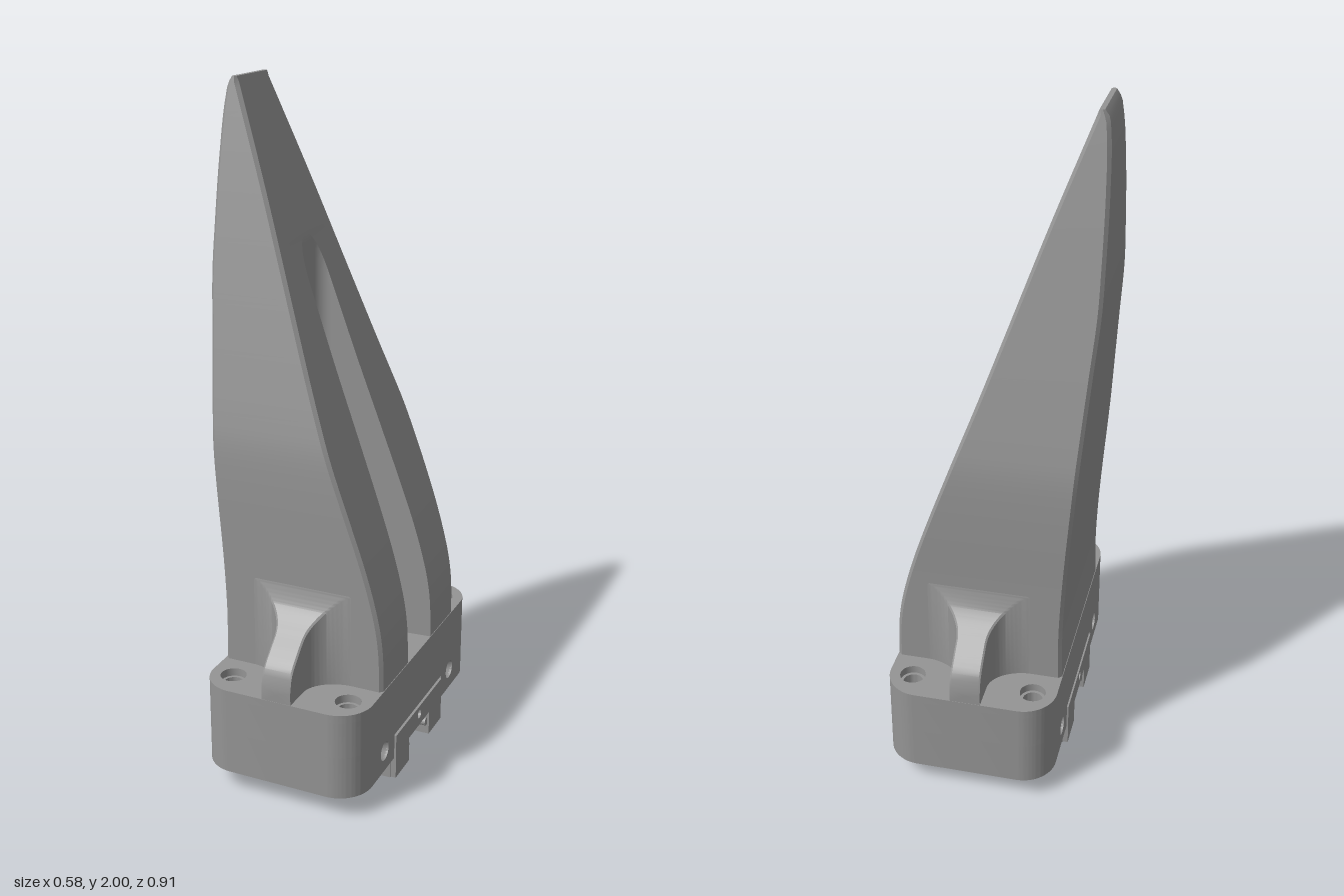
import * as THREE from 'three';
import { toCreasedNormals } from 'three/addons/utils/BufferGeometryUtils.js';

const material = new THREE.MeshStandardMaterial({ color: 0x949494 });

function add(parent, name, geometry) {
  const mesh = new THREE.Mesh(geometry, material);
  mesh.name = name;
  parent.add(mesh);
  return mesh;
}

// smooth curve through (key, value) samples
function curve(keys, values) {
  const c = new THREE.CubicInterpolant(keys, values, 1, new Float32Array(1));
  return (t) => c.evaluate(t)[0];
}

// skin over closed sections, with a fan closing the last one
function loft(rows) {
  const n = rows[0].length;
  const pos = rows.flat(2);
  const index = [];
  for (let j = 0; j < rows.length - 1; j++) {
    for (let i = 0; i < n; i++) {
      const a = j * n + i, b = j * n + (i + 1) % n;
      index.push(a, b, b + n, a, b + n, a + n);
    }
  }
  const last = rows[rows.length - 1];
  const start = (rows.length - 1) * n;
  for (let k = 0; k < 3; k++) pos.push(last.reduce((s, p) => s + p[k], 0) / n);
  for (let i = 0; i < n; i++) index.push(start + i, start + (i + 1) % n, start + n);
  const g = new THREE.BufferGeometry();
  g.setAttribute('position', new THREE.Float32BufferAttribute(pos, 3));
  g.setIndex(index);
  return toCreasedNormals(g, 0.4);
}

function holes(shape, list) {
  for (const [x, y, r] of list) shape.holes.push(new THREE.Path().absarc(x, y, r, 0, Math.PI * 2, true));
  return shape;
}

function extrude(shape, depth) {
  const g = new THREE.ExtrudeGeometry(shape, { depth, bevelEnabled: false, curveSegments: 14 });
  return toCreasedNormals(g, 0.5);
}

// plan shape raised from y0 to y1
const upright = (shape, y0, y1) => extrude(shape, y1 - y0).rotateX(-Math.PI / 2).translate(0, y0, 0);
// end profile run along x, centred
const lengthwise = (shape, length) => extrude(shape, length).translate(0, 0, -length / 2).rotateY(Math.PI / 2);

const polygon = (pts) => new THREE.Shape(pts.map(([x, y]) => new THREE.Vector2(x, y)));

const HALF_X = 0.2525, HALF_Z = 0.457, HOLE_X = 0.182, HOLE_Z = 0.367;
const BOTTOM = 0.07, MID = 0.2, TOP = 0.334;

// plan of the base from z0 to its far end, with round corners at the near end if wanted
function plan(z0, roundNear) {
  const r = 0.1, w = HALF_X, s = new THREE.Shape();
  if (roundNear) {
    s.absarc(-w + r, z0 + r, r, Math.PI, Math.PI * 1.5);
    s.absarc(w - r, z0 + r, r, Math.PI * 1.5, Math.PI * 2);
  } else {
    s.moveTo(-w, z0);
    s.lineTo(w, z0);
  }
  s.absarc(w - r, HALF_Z - r, r, 0, Math.PI / 2);
  s.absarc(-w + r, HALF_Z - r, r, Math.PI / 2, Math.PI);
  return s;
}

function bladeGeometry() {
  const left = curve([0.33, 0.5, 1, 1.3, 1.48, 1.6, 1.8, 1.95, 1.985, 2],
    [-0.22, -0.218, -0.25, -0.273, -0.287, -0.289, -0.288, -0.28, -0.273, -0.262]);
  const right = curve([0.33, 0.45, 0.52, 0.6, 0.7, 0.8, 1, 1.2, 1.4, 1.7, 2],
    [0.282, 0.278, 0.269, 0.251, 0.222, 0.188, 0.115, 0.041, -0.03, -0.136, -0.248]);
  const half = curve([0.33, 0.6, 0.95, 1.02, 1.1, 1.2, 1.5, 2],
    [0.285, 0.285, 0.285, 0.28, 0.267, 0.248, 0.19, 0.095]);
  // half-width of the vertical channel at depth x
  const channel = (x) => {
    if (x <= -0.084) return 0.02;
    if (x < -0.039) return 0.02 + Math.sqrt(0.045 ** 2 - (x + 0.039) ** 2);
    return 0.065 + (x + 0.039) * 0.084;
  };
  const depths = [1, -0.039, -0.05, -0.061, -0.071, -0.079, -0.083, -0.084];
  const rows = [];
  const count = 110;
  for (let j = 0; j <= count; j++) {
    const y = 0.33 + 1.67 * j / count;
    const xl = left(y), xr = right(y), h = half(y);
    const c = Math.min(0.01, (xr - xl) / 3);
    const wall = depths.map((d) => { const x = Math.min(d, xr); return [x, channel(x)]; });
    const section = [
      [xr, h - c], ...wall, ...wall.map(([x, z]) => [x, -z]).reverse(), [xr, c - h],
      [xr - c, -h], [xl + c, -h], [xl, c - h], [xl, h - c], [xl + c, h], [xr - c, h],
    ];
    rows.push(section.map(([x, z]) => [x, y, z]));
  }
  return loft(rows);
}

// buttress that flares out where it meets the blade
function ribGeometry() {
  const top = curve([0.28, 0.29, 0.3, 0.32, 0.36, 0.41, 0.435, 0.448, 0.456],
    [0.63, 0.6, 0.577, 0.547, 0.506, 0.46, 0.434, 0.412, 0.375]);
  const rows = [];
  const count = 40, y0 = 0.33, c = 0.005;
  for (let j = 0; j <= count; j++) {
    const z = 0.2845 + 0.1715 * (j / count) ** 1.7;
    const u = Math.min(1, Math.max(0, (0.375 - z) / 0.0905));
    const w = 0.045 + 0.12 * (1 - Math.sqrt(1 - u * u));
    const h = top(z);
    rows.push([[w, y0, z], [w, h - c, z], [w - c, h, z], [c - w, h, z], [-w, h - c, z], [-w, y0, z]]);
  }
  return loft(rows);
}

// end profile of the carriage with its rail slot and a small bore
function carriageProfile(half, top, slot, ceiling) {
  const s = polygon([[-half, 0], [-slot, 0], [-slot, ceiling], [slot, ceiling],
    [slot, 0], [half, 0], [half, top], [-half, top]]);
  return holes(s, [[0, 0.115, 0.014]]);
}

export function createModel() {
  const model = new THREE.Group();
  model.name = 'bladeOnCarriage';
  add(model, 'blade', bladeGeometry());

  const base = new THREE.Group();
  base.name = 'base';
  base.position.x = 0.031;
  model.add(base);

  // upper base layers with counterbored corner holes and a blind centre hole
  const holeSet = (r, centre) => [
    ...[-1, 1].flatMap((a) => [-1, 1].map((b) => [a * HOLE_X, b * HOLE_Z, r])), [0, 0, centre]];
  add(base, 'baseTop', upright(holes(plan(-HALF_Z, true), holeSet(0.038, 0.038)), 0.31, TOP));
  add(base, 'baseBody', upright(holes(plan(-HALF_Z, true), holeSet(0.029, 0.028)), MID, 0.31));

  // lower middle, notched for the carriage and bored at both ends
  const middle = polygon([[-0.32, BOTTOM], [-0.192, BOTTOM], [-0.192, 0.148], [0.192, 0.148],
    [0.192, BOTTOM], [0.32, BOTTOM], [0.32, MID], [-0.32, MID]]);
  add(base, 'baseMiddle', lengthwise(holes(middle, [[-0.265, 0.135, 0.029], [0.265, 0.135, 0.029]]), 2 * HALF_X));

  // matching parts on the front and back
  const dimple = [[0.029, 0], [0.029, -0.008], [0.012, -0.035], [0, -0.035]].map(([x, y]) => new THREE.Vector2(x, y));
  for (const [side, angle] of [['front', 0], ['back', Math.PI]]) {
    const end = new THREE.Group();
    end.name = side + 'End';
    end.rotation.y = angle;
    base.add(end);
    const foot = holes(plan(0.32, false), [-HOLE_X, 0, HOLE_X].map((x) => [x, HOLE_Z, 0.029]));
    add(end, 'foot', upright(foot, BOTTOM, MID)).rotation.y = Math.PI;
    add(end, 'rib', ribGeometry());
    for (const s of [1, -1]) {
      add(end, 'boreFloor', new THREE.LatheGeometry(dimple, 20).rotateZ(-s * Math.PI / 2).translate(s * HALF_X, 0.135, 0.265));
    }
    add(end, 'sidePlate', new THREE.BoxGeometry(0.225, 0.025, 0.055).translate(0, 0.06, 0.2125));
    // bead along the inner wall of the rail slot
    add(end, 'slotBead', new THREE.CylinderGeometry(0.013, 0.013, 0.5, 16).rotateZ(Math.PI / 2).translate(0, 0.045, 0.077));
  }

  // carriage, with slightly slimmer ends that stand proud of the base
  add(base, 'carriageBody', lengthwise(carriageProfile(0.192, 0.148, 0.085, 0.08), 0.48));
  add(base, 'carriageEnds', lengthwise(carriageProfile(0.187, 0.142, 0.083, 0.078), 0.513));
  add(base, 'carriagePlug', new THREE.CylinderGeometry(0.015, 0.015, 0.46, 16).rotateZ(Math.PI / 2).translate(0, 0.115, 0));
  return model;
}
